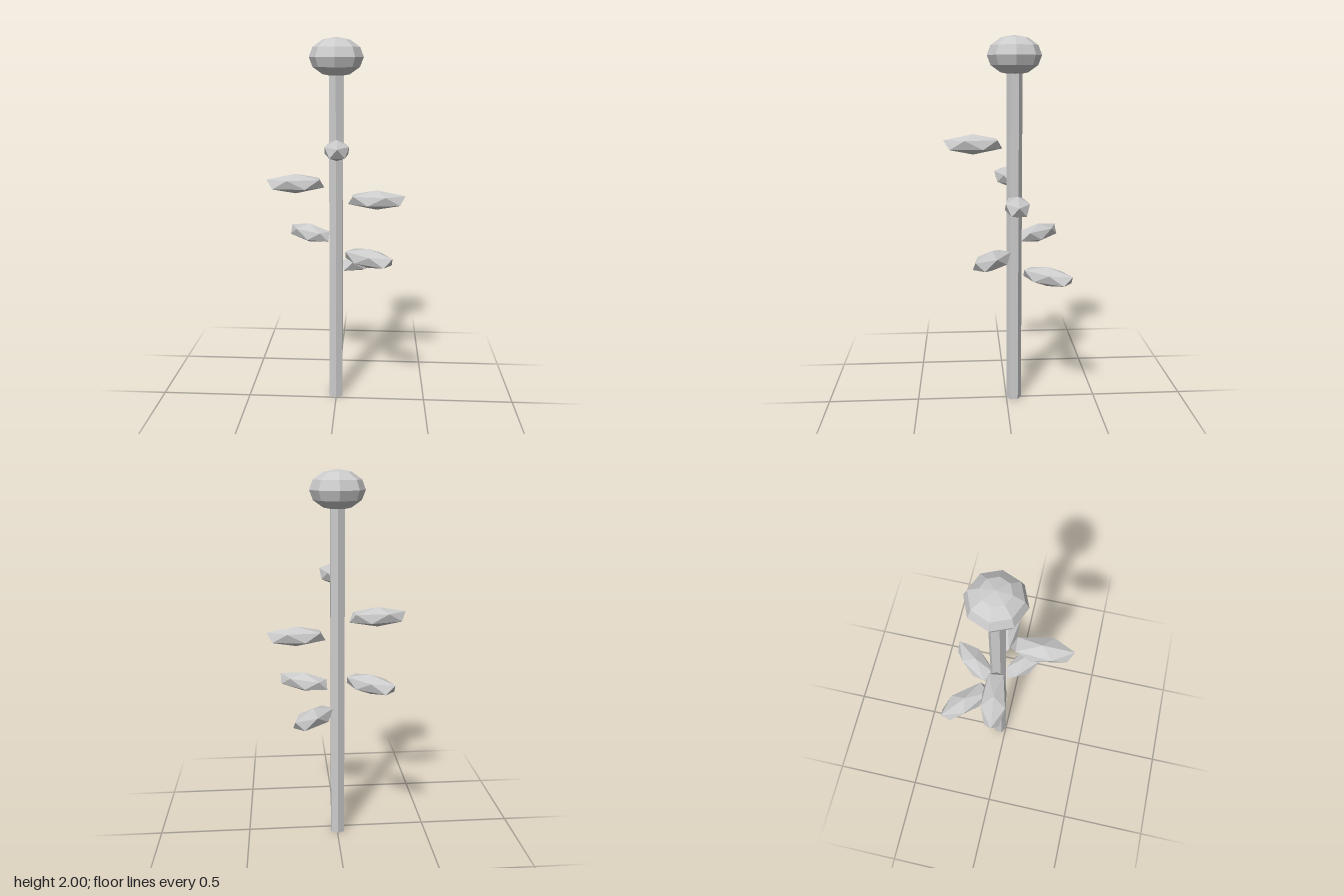
import * as THREE from 'three';

export function createModel() {
  const model = new THREE.Group();
  model.name = 'flower';
  const material = new THREE.MeshStandardMaterial({ color: 0xcccccc, flatShading: true });

  // The stem stands slightly behind the centre
  const plant = new THREE.Group();
  plant.name = 'plant';
  plant.position.set(-0.002, 0, -0.042);
  model.add(plant);

  function add(name, geometry, parent = plant) {
    const mesh = new THREE.Mesh(geometry, material);
    mesh.name = name;
    parent.add(mesh);
    return mesh;
  }

  // Six-sided stem
  add('stem', new THREE.CylinderGeometry(0.042, 0.042, 1.82, 6).translate(0, 0.91, 0));

  // Squashed faceted head
  add('head', new THREE.SphereGeometry(1, 8, 6).scale(0.142, 0.1, 0.142).translate(0, 1.9, 0));

  // Leaf: icosahedron with a corner up, stretched outwards along x
  const tilt = Math.atan(2 / (1 + Math.sqrt(5)));
  const leafGeometry = new THREE.IcosahedronGeometry(1, 0)
    .rotateZ(-tilt)
    .scale(0.173, 0.053, 0.071)
    .translate(0.218, 0, 0);

  // Leaves as [height, angle in degrees from +x towards +z]
  const leaves = [
    [1.447, 86], [1.243, 172.4], [1.152, 0],
    [0.927, 223.2], [0.861, 35.2], [0.757, -50.8],
  ];
  leaves.forEach(([height, angle], i) => {
    const leaf = add(`leaf${i + 1}`, leafGeometry);
    leaf.position.y = height;
    leaf.rotation.y = -THREE.MathUtils.degToRad(angle);
  });

  return model;
}
